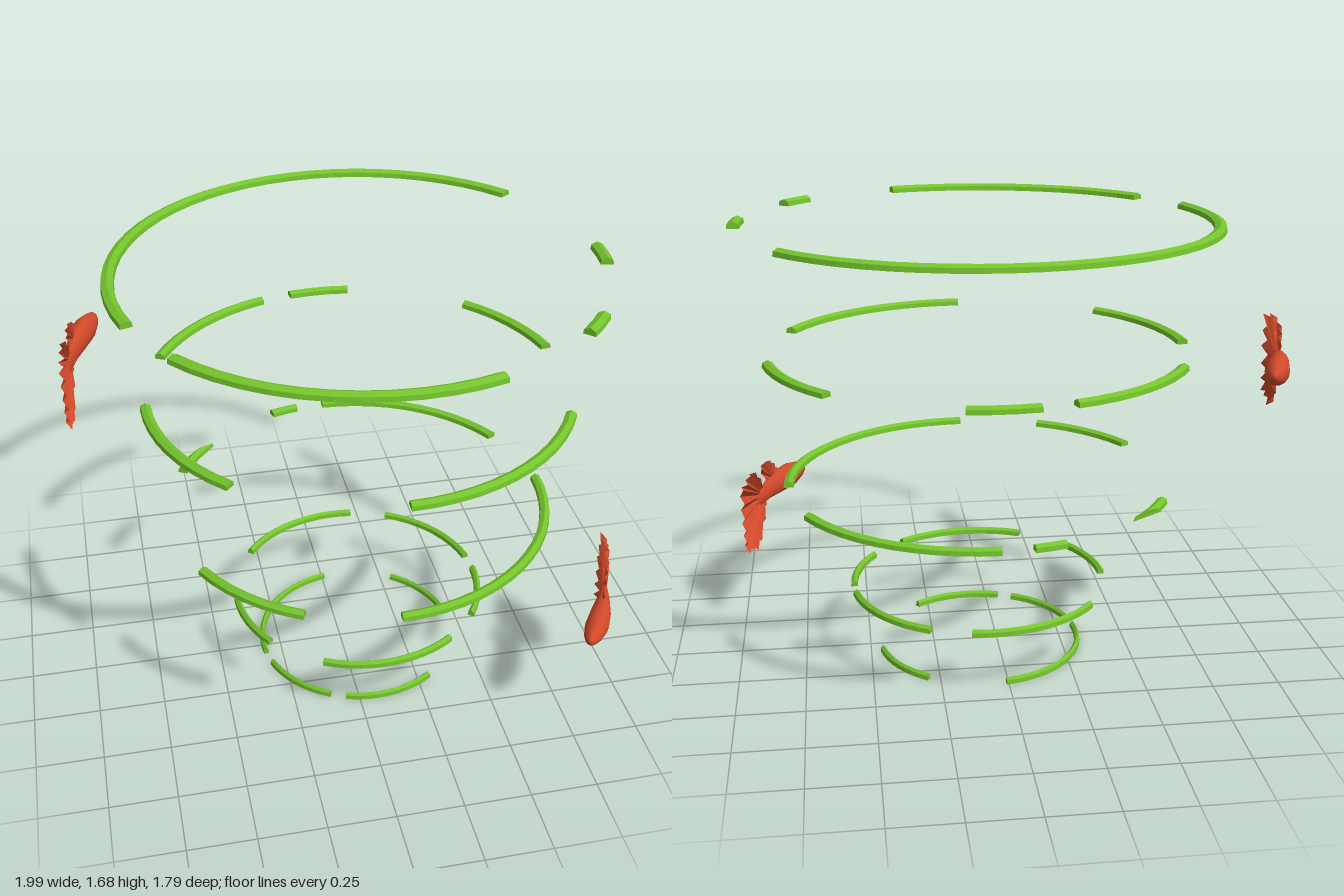
import * as THREE from 'three';

const green = new THREE.MeshStandardMaterial({ color: 0x74c42c });
green.name = 'leaf green';
const red = new THREE.MeshStandardMaterial({ color: 0xd2492b, side: THREE.DoubleSide });
red.name = 'fish red';

const RAD = Math.PI / 180;
const CENTRE_X = 0.07;

// Skin a list of closed cross-sections (each an array of [x, y, z]) and cap both ends
function loft(rings, flat) {
  const n = rings[0].length, last = (rings.length - 1) * n, idx = [];
  for (let i = 0; i < rings.length - 1; i++) {
    for (let j = 0; j < n; j++) {
      const a = i * n + j, b = i * n + (j + 1) % n;
      idx.push(a, b, a + n, b, b + n, a + n);
    }
  }
  for (let j = 1; j < n - 1; j++) {
    idx.push(0, j + 1, j, last, last + j, last + j + 1);
  }
  let g = new THREE.BufferGeometry();
  g.setAttribute('position', new THREE.Float32BufferAttribute(rings.flat(2), 3));
  g.setIndex(idx);
  if (flat) g = g.toNonIndexed();
  g.computeVertexNormals();
  return g;
}

// Ring band profile: [radial fraction, height fraction]
const BAND = [[0, 0], [1, 0], [0.94, 0.65], [0.5, 1], [0.06, 0.65]];

// One curved dash from angle a0 to a1; skew stretches the inner edge of its end
function dash(radius, y, a0, a1, skew = 0) {
  const width = radius * 0.052, height = 0.026;
  const steps = Math.max(2, Math.ceil((a1 - a0) / 6)), rings = [];
  for (let i = 0; i <= steps; i++) {
    const t = i / steps;
    rings.push(BAND.map(([u, v]) => {
      const a = (a0 + (a1 - a0 + skew * (1 - u)) * t) * RAD;
      const r = radius - width * (1 - u);
      return [CENTRE_X + r * Math.cos(a), y + v * height, r * Math.sin(a)];
    }));
  }
  return loft(rings, true);
}

// Broken rings, bottom to top: outer radius, base height, dashes in degrees
const RINGS = [
  { r: 0.40, y: 0, arcs: [[172, 261], [305, 350], [117, 162], [55, 108]] },
  { r: 0.50, y: 0.252, arcs: [[217, 279], [297, 350], [0, 35], [55, 117], [145, 180]] },
  { r: 0.74, y: 0.672, arcs: [[270, 333], [252, 261], [207, 214, 11], [117, 153], [0, 90]] },
  { r: 0.80, y: 1.183, arcs: [[316, 350], [261, 279], [207, 252], [135, 180], [27, 90]] },
  { r: 0.893, y: 1.655, arcs: [[162, 323], [72, 144], [0, 9], [36, 45]] },
];

// Fish space: z runs from tail tip (0) to nose, y = 0 is the tail root; the spine bends sideways
const LENGTH = 0.567;
const bend = (s) => 0.03 * Math.sin(Math.PI * s / LENGTH);

// Body sections: [along, centre height, half height, half width]
const BODY = [
  [0.17, 0.01, 0.022, 0.004], [0.22, 0.013, 0.034, 0.011], [0.30, 0.022, 0.042, 0.024],
  [0.38, 0.027, 0.051, 0.037], [0.46, 0.028, 0.052, 0.043], [0.52, 0.031, 0.037, 0.033],
  [0.55, 0.034, 0.024, 0.021], [0.567, 0.036, 0.009, 0.008],
];

function bodyGeometry() {
  return loft(BODY.map(([s, yc, hy, hx]) => Array.from({ length: 14 }, (_, k) => {
    const t = k / 14 * 2 * Math.PI;
    return [bend(s) + hx * Math.cos(t), yc + hy * Math.sin(t), s];
  })), false);
}

// Pleated fan fin: creases alternate sideways between the root and the outline
function finGeometry(root, outline, pleat) {
  const edge = [];
  outline.forEach((p, i) => {
    edge.push(p);
    const q = outline[i + 1];
    // Mid points sit slightly inside for a scalloped rim
    if (q) edge.push(p.map((v, k) => (v + q[k]) / 2 * 0.95 + root[k] * 0.05));
  });
  const tip = edge.map(([s, y], i) => [bend(s) + (i % 2 ? pleat : -pleat), y, s]);
  const base = [bend(root[0]), root[1], root[0]];
  const pos = [];
  for (let i = 0; i < tip.length - 1; i++) pos.push(...base, ...tip[i], ...tip[i + 1]);
  const g = new THREE.BufferGeometry();
  g.setAttribute('position', new THREE.Float32BufferAttribute(pos, 3));
  g.computeVertexNormals();
  return g;
}

const TAIL = [
  [0.245, 0.045], [0.205, 0.10], [0.157, 0.143], [0.11, 0.148], [0.06, 0.125], [0.004, 0.122],
  [0.01, 0.06], [0.004, 0], [0.018, -0.064], [0.025, -0.12], [0.036, -0.163],
  [0.09, -0.168], [0.14, -0.19], [0.183, -0.165], [0.232, -0.09], [0.25, -0.03],
];
const DORSAL = [
  [0.29, 0.058], [0.26, 0.08], [0.225, 0.134], [0.26, 0.15], [0.31, 0.143],
  [0.345, 0.118], [0.395, 0.074],
];

function fish(name, x, y, z, turn) {
  const g = new THREE.Group();
  g.name = name;
  const parts = {
    body: bodyGeometry(),
    tailFin: finGeometry([0.255, 0.01], TAIL, 0.011),
    dorsalFin: finGeometry([0.345, 0.05], DORSAL, 0.007),
  };
  for (const [part, geo] of Object.entries(parts)) {
    const m = new THREE.Mesh(geo, red);
    m.name = part;
    g.add(m);
  }
  g.position.set(x, y, z);
  g.rotation.y = turn * RAD;
  return g;
}

export function createModel() {
  const model = new THREE.Group();
  model.name = 'fishWhirl';
  RINGS.forEach(({ r, y, arcs }, i) => {
    const ring = new THREE.Group();
    ring.name = `brokenRing${i + 1}`;
    for (const [a0, a1, skew] of arcs) {
      const m = new THREE.Mesh(dash(r, y, a0, a1, skew), green);
      m.name = 'ringDash';
      ring.add(m);
    }
    model.add(ring);
  });
  // Two fish circling on opposite sides
  model.add(fish('upperFish', -0.99, 1.2, -0.115, 165.7));
  model.add(fish('lowerFish', 0.99, 0.45, 0.26, -24.5));
  return model;
}
